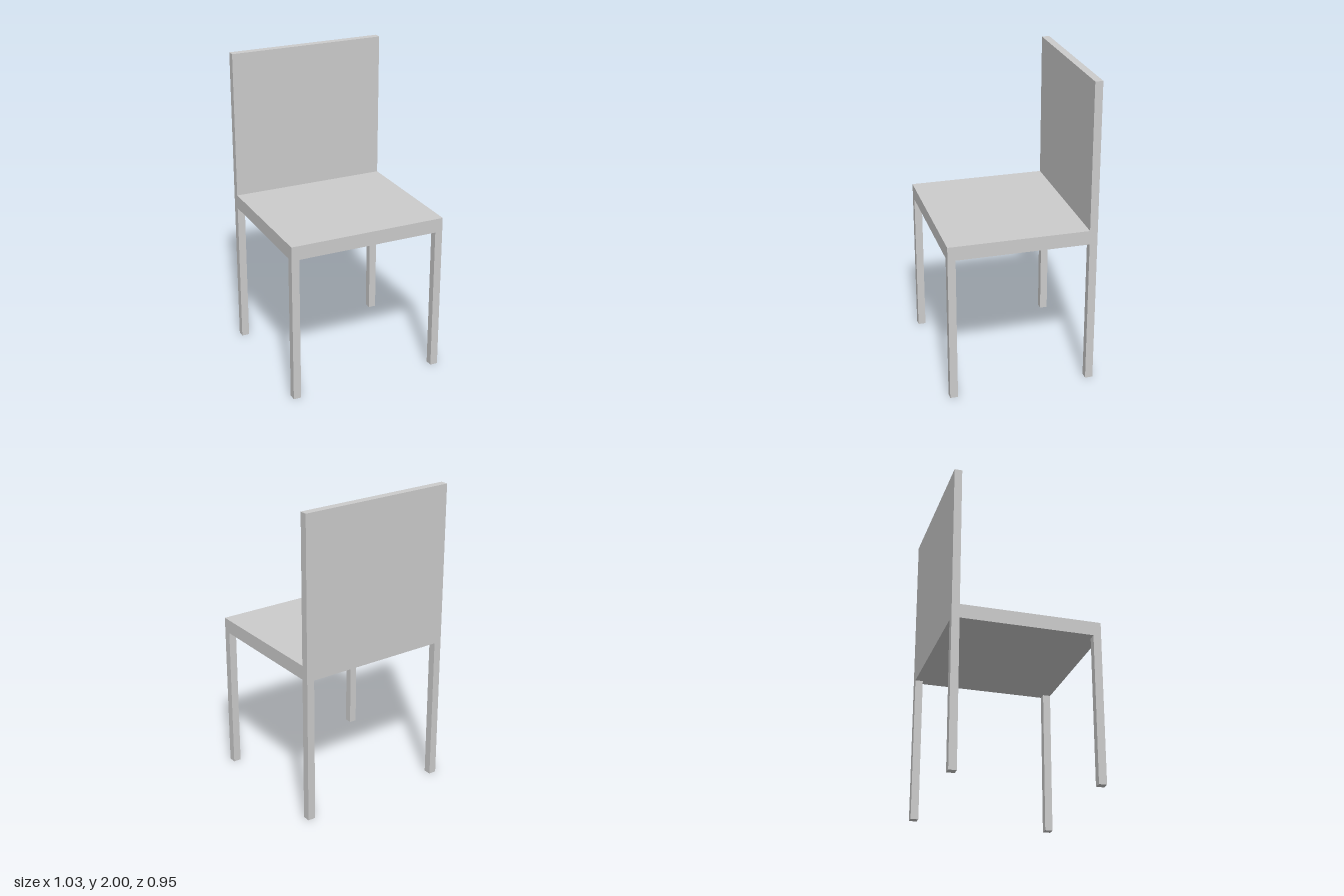
import * as THREE from 'three';

const W = 1.032, D = 0.948;             // overall width and depth
const SEAT_BOTTOM = 0.957, SEAT_TOP = 1.048, TOP = 2;
const T = 0.05;                         // leg and backrest thickness

export function createModel() {
  const chair = new THREE.Group();
  chair.name = 'chair';
  const material = new THREE.MeshStandardMaterial({ color: 0xcccccc, flatShading: true });

  // Box standing on height y0 and reaching y1
  const addBox = (name, w, d, y0, y1, x, z) => {
    const mesh = new THREE.Mesh(new THREE.BoxGeometry(w, y1 - y0, d), material);
    mesh.name = name;
    mesh.position.set(x, (y0 + y1) / 2, z);
    chair.add(mesh);
  };

  // Seat slab, stopping at the face of the backrest
  addBox('seat', W, D - T, SEAT_BOTTOM, SEAT_TOP, 0, T / 2);

  // Backrest panel, flush with the underside of the seat
  addBox('backrest', W, T, SEAT_BOTTOM, TOP, 0, -(D - T) / 2);

  // Four square legs, flush with the outer corners
  for (const [sx, side] of [[1, 'Left'], [-1, 'Right']]) {
    for (const [sz, end] of [[1, 'front'], [-1, 'back']]) {
      addBox(`${end}${side}Leg`, T, T, 0, SEAT_BOTTOM, sx * (W - T) / 2, sz * (D - T) / 2);
    }
  }
  return chair;
}
